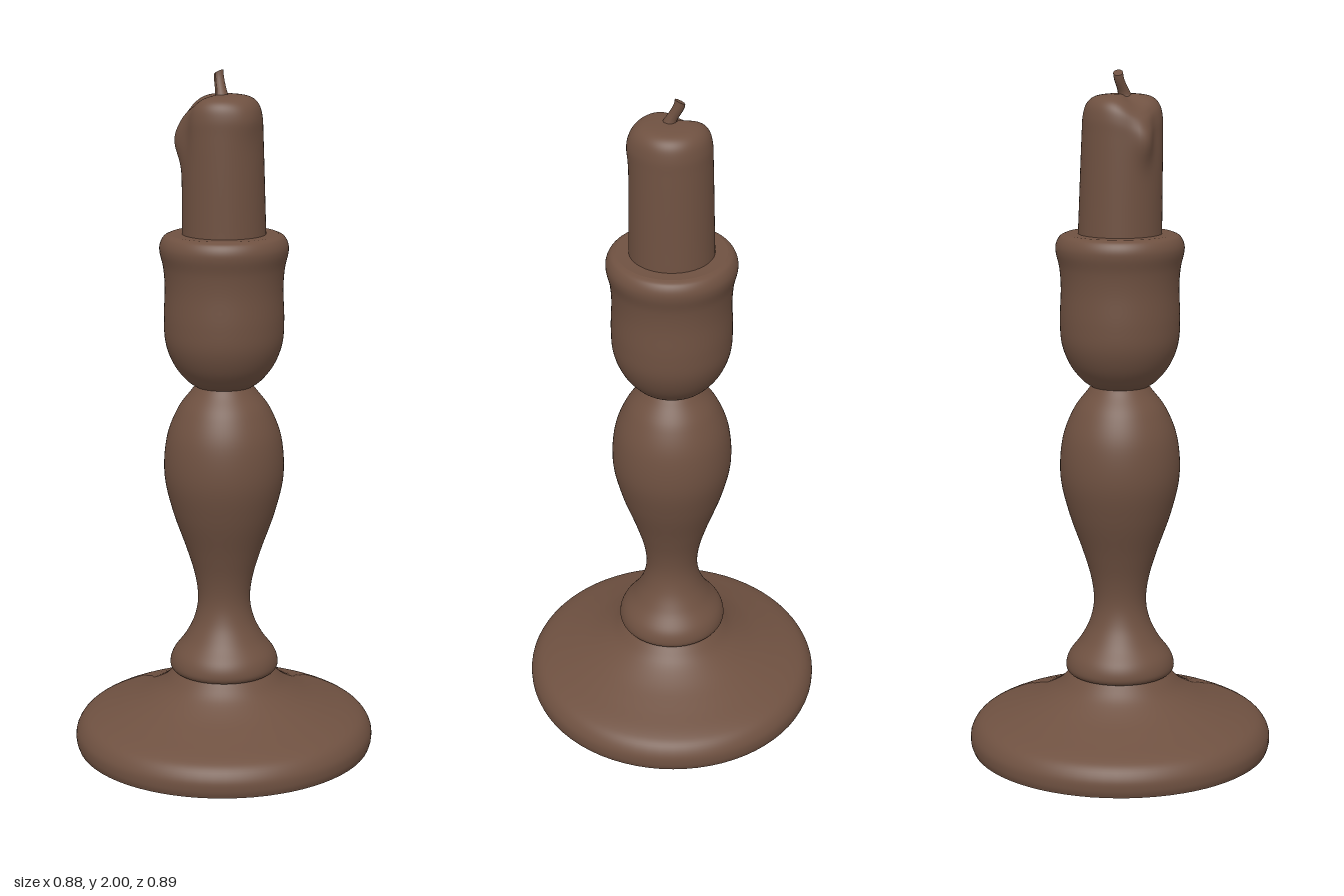
import * as THREE from 'three';
import { mergeVertices } from 'three/addons/utils/BufferGeometryUtils.js';

const bronze = new THREE.MeshStandardMaterial({ color: 0x6f5141 });
bronze.name = 'brown';

const vectors = (pts) => pts.map(([r, y]) => new THREE.Vector2(r, y));

// Smooth turned shape through a few [radius, height] points
function turned(name, pts, steps = 40) {
  const profile = new THREE.SplineCurve(vectors(pts)).getPoints(steps);
  const mesh = new THREE.Mesh(new THREE.LatheGeometry(profile, 72), bronze);
  mesh.name = name;
  return mesh;
}

// Weld the seam and recompute smooth normals after moving vertices
function weld(geometry) {
  geometry.deleteAttribute('uv');
  geometry.deleteAttribute('normal');
  const welded = mergeVertices(geometry, 1e-4);
  welded.computeVertexNormals();
  return welded;
}

// Flat disc facing up or down
function disc(name, radius, y, up) {
  const mesh = new THREE.Mesh(new THREE.CircleGeometry(radius, 72), bronze);
  mesh.rotation.x = up ? -Math.PI / 2 : Math.PI / 2;
  mesh.position.y = y;
  mesh.name = name;
  return mesh;
}

// Partly melted candle: leaning back face, raised drip and sagging edges
function makeCandle() {
  const profile = new THREE.SplineCurve(vectors([
    [0.121, 1.5], [0.119, 1.6], [0.117, 1.72], [0.115, 1.82], [0.113, 1.87],
    [0.103, 1.905], [0.08, 1.925], [0.04, 1.932], [0, 1.932],
  ])).getPoints(48);
  profile[profile.length - 1].x = 0;
  const geometry = new THREE.LatheGeometry(profile, 64);
  const pos = geometry.attributes.position;
  const bump = (d, width) => Math.exp(-((d / width) ** 2));
  const angleTo = (a, b) => Math.atan2(Math.sin(a - b), Math.cos(a - b));
  for (let i = 0; i < pos.count; i++) {
    const x = pos.getX(i), y = pos.getY(i), z = pos.getZ(i);
    const r = Math.hypot(x, z), a = Math.atan2(z, x);
    const rise = Math.max(0, (y - 1.54) / 0.39);
    const drip = bump(angleTo(a, 2.5), 0.24) * bump(y - 1.83, 0.06);
    const flat = bump(angleTo(a, 2.02), 0.25) * bump(y - 1.87, 0.1);
    const lip = bump(angleTo(a, 0.25), 0.4) * bump(y - 1.87, 0.05);
    const k = 1 + 0.19 * drip - 0.06 * flat + 0.06 * lip;
    const sag = 0.035 * bump(angleTo(a, 2.5), 0.6) * Math.min(1, r / 0.1) * rise;
    pos.setXYZ(i, x * k, y - sag, z * k + 0.009 * rise);
  }
  const mesh = new THREE.Mesh(weld(geometry), bronze);
  mesh.name = 'candle';
  return mesh;
}

// Short bent wick with a slanted tip
function makeWick() {
  const geometry = new THREE.CylinderGeometry(0.014, 0.016, 1, 10, 8);
  const pos = geometry.attributes.position;
  for (let i = 0; i < pos.count; i++) {
    const t = pos.getY(i) + 0.5, x = pos.getX(i), z = pos.getZ(i);
    const bend = t * t * (3 - 2 * t);
    const flare = 1 + 0.6 * (1 - t) ** 4;
    pos.setXYZ(i, x * flare + 0.004 - 0.026 * bend,
      1.915 + 0.077 * t + 0.55 * x * t, z * flare + 0.015 - 0.018 * bend);
  }
  geometry.computeVertexNormals();
  const mesh = new THREE.Mesh(geometry, bronze);
  mesh.name = 'wick';
  return mesh;
}

export function createModel() {
  const group = new THREE.Group();
  group.name = 'candlestick';

  // Broad domed foot
  const foot = new THREE.Group();
  foot.name = 'foot';
  foot.add(
    turned('footDome', [[0.44, 0], [0.446, 0.02], [0.444, 0.05], [0.425, 0.08], [0.39, 0.1],
      [0.32, 0.125], [0.25, 0.153], [0.19, 0.188], [0.155, 0.222], [0.14, 0.24]]),
    disc('footUnderside', 0.44, 0, false));
  foot.scale.x = 0.987;
  group.add(foot);

  // Baluster stem with a bead at the bottom
  group.add(turned('stem', [[0.13, 0.228], [0.152, 0.234], [0.16, 0.253], [0.15, 0.287],
    [0.115, 0.335], [0.088, 0.39], [0.077, 0.45], [0.085, 0.52], [0.11, 0.605], [0.15, 0.72],
    [0.174, 0.83], [0.167, 0.94], [0.135, 1.025], [0.095, 1.08], [0.08, 1.1]], 80));

  // Cup that holds the candle
  group.add(turned('cup', [[0.078, 1.092], [0.11, 1.115], [0.145, 1.16], [0.168, 1.22],
    [0.173, 1.29], [0.17, 1.38], [0.174, 1.44], [0.184, 1.485], [0.183, 1.51],
    [0.172, 1.53], [0.155, 1.538]], 60));
  group.add(disc('cupTop', 0.156, 1.538, true));

  group.add(makeCandle(), makeWick());
  return group;
}
